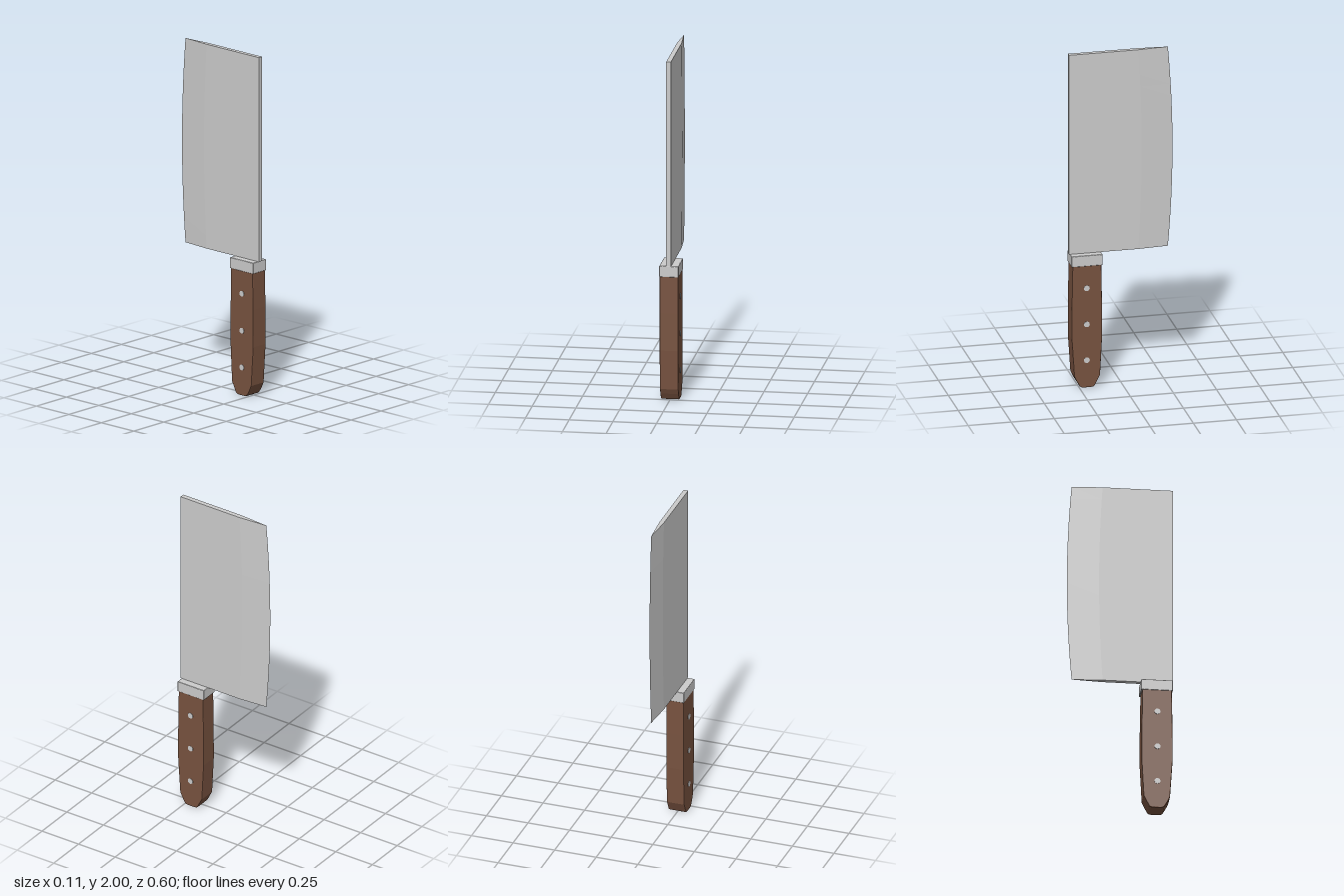
import * as THREE from 'three';
import { RoundedBoxGeometry } from 'three/addons/geometries/RoundedBoxGeometry.js';

const steel = new THREE.MeshStandardMaterial({ color: 0xcccccc, flatShading: true });
const wood = new THREE.MeshStandardMaterial({ color: 0x77523f, flatShading: true });

function shapeOf(points) {
  return new THREE.Shape(points.map(([a, b]) => new THREE.Vector2(a, b)));
}

function part(name, geometry, material) {
  const mesh = new THREE.Mesh(geometry, material);
  mesh.name = name;
  return mesh;
}

// Wedge cross-section swept upward, with the cutting edge bowed outward
function bladeGeometry() {
  const bottom = 0.797, height = 1.203, half = 0.0135;
  const section = shapeOf([[-half, -0.302], [half, -0.302], [half, 0.1], [0, 0.275], [-half, 0.1]]);
  const geometry = new THREE.ExtrudeGeometry(section, { depth: height, steps: 16, bevelEnabled: false });
  geometry.rotateX(-Math.PI / 2);
  const pos = geometry.attributes.position;
  for (let i = 0; i < pos.count; i++) {
    const z = pos.getZ(i);
    if (z > 0) continue;
    const t = 2 * pos.getY(i) / height - 1;
    pos.setZ(i, z - (z < -0.2 ? 0.027 : 0.02) * (1 - t * t));
  }
  geometry.computeVertexNormals();
  return geometry.translate(0, bottom, 0);
}

// Side outline (z, y) of the grip, extruded across x with softened edges
function handleGeometry() {
  const outline = shapeOf([
    [0.29, 0.745], [0.294, 0.52], [0.295, 0.3], [0.28, 0.07], [0.266, 0.04], [0.247, 0.008], [0.238, 0.002], [0.225, 0],
    [0.182, 0], [0.17, 0.002], [0.161, 0.008], [0.145, 0.04], [0.13, 0.07], [0.118, 0.3], [0.119, 0.52], [0.123, 0.745],
  ]);
  const bevel = 0.005, width = 0.106;
  const geometry = new THREE.ExtrudeGeometry(outline, {
    depth: width - 2 * bevel, bevelThickness: bevel, bevelSize: bevel, bevelOffset: -bevel, bevelSegments: 2,
  });
  return geometry.translate(0, 0, bevel - width / 2).rotateY(-Math.PI / 2);
}

export function createModel() {
  const model = new THREE.Group();
  model.name = 'cleaver';
  model.add(part('blade', bladeGeometry(), steel));
  model.add(part('handle', handleGeometry(), wood));

  // Collar between the blade and the grip
  const bolster = part('bolster', new RoundedBoxGeometry(0.11, 0.065, 0.18, 2, 0.004), steel);
  bolster.position.set(0, 0.765, 0.206);
  model.add(bolster);

  // Pins through the grip, showing on both sides
  const pin = new THREE.CylinderGeometry(0.017, 0.017, 0.111, 16).rotateZ(Math.PI / 2);
  for (const y of [0.6, 0.382, 0.166]) {
    const rivet = part('rivet', pin, steel);
    rivet.position.set(0, y, 0.208);
    model.add(rivet);
  }
  return model;
}
